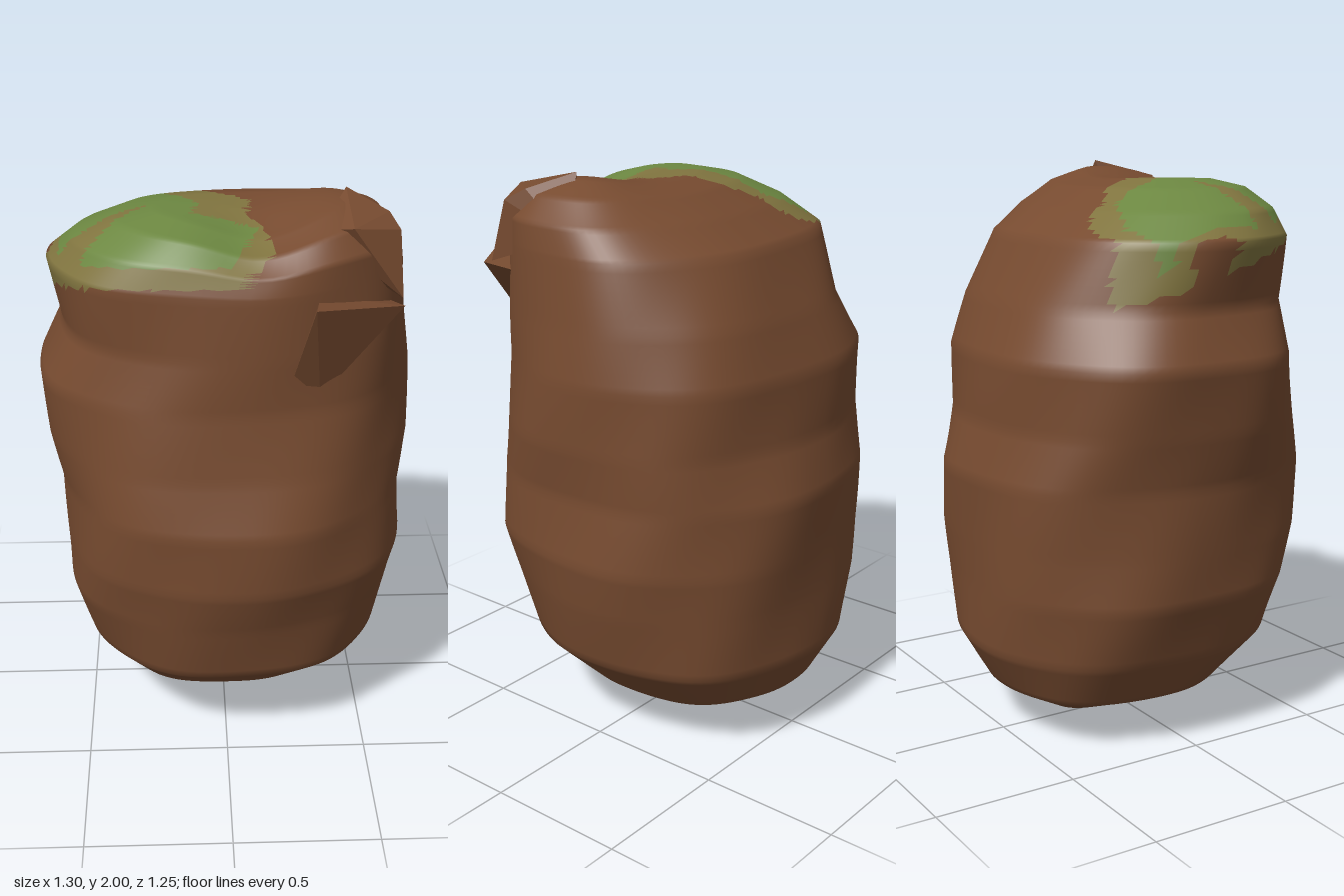
import * as THREE from 'three';
import { ConvexGeometry } from 'three/addons/geometries/ConvexGeometry.js';

const brown = new THREE.MeshStandardMaterial({ name: 'brown stone', color: 0x774b30 });
const olive = new THREE.MeshStandardMaterial({ name: 'olive moss edge', color: 0x80743f });
const green = new THREE.MeshStandardMaterial({ name: 'green moss', color: 0x6c8741 });

// Cross-sections: y, left edge x, right edge x, back z, front z
const rings = [
  [0.0, 0.07, 0.07, 0.0, 0.0],
  [0.05, -0.13, 0.17, -0.3, 0.1],
  [0.17, -0.41, 0.42, -0.5, 0.33],
  [0.33, -0.51, 0.57, -0.59, 0.52],
  [0.55, -0.58, 0.62, -0.6, 0.57],
  [0.72, -0.58, 0.65, -0.61, 0.62],
  [0.95, -0.58, 0.63, -0.62, 0.63],
  [1.13, -0.62, 0.65, -0.57, 0.58],
  [1.36, -0.65, 0.65, -0.56, 0.54],
  [1.54, -0.56, 0.63, -0.49, 0.53],
  [1.76, -0.59, 0.61, -0.38, 0.52],
  [1.85, -0.5, 0.59, -0.25, 0.5],
  [1.92, -0.36, 0.52, -0.12, 0.44],
  [1.95, -0.22, 0.4, 0.0, 0.34],
  [1.96, 0.05, 0.05, 0.16, 0.16],
];

// Moss outlines seen from above (x, z)
const mossEdge = [[-0.64, 0.27], [-0.58, 0.05], [-0.57, -0.12], [-0.5, -0.25], [-0.45, -0.34], [-0.42, -0.28],
  [-0.32, -0.3], [-0.22, -0.26], [-0.17, -0.17], [-0.07, -0.1], [-0.04, 0], [0.09, 0.09], [0.07, 0.2],
  [0.12, 0.27], [0.15, 0.43], [0, 0.56], [-0.3, 0.56], [-0.56, 0.44]];
const mossCore = [[-0.55, 0.2], [-0.55, -0.17], [-0.4, -0.23], [-0.23, -0.16], [-0.17, 0.02], [-0.09, 0.13],
  [-0.11, 0.23], [0.11, 0.27], [0.05, 0.42], [0, 0.53], [-0.25, 0.54], [-0.45, 0.48], [-0.52, 0.36], [-0.25, 0.13]];

function inside(poly, x, z) {
  let hit = false;
  for (let i = 0, j = poly.length - 1; i < poly.length; j = i++) {
    const [xi, zi] = poly[i], [xj, zj] = poly[j];
    if ((zi > z) !== (zj > z) && x < ((xj - xi) * (z - zi)) / (zj - zi) + xi) hit = !hit;
  }
  return hit;
}

// Point on a squarish oval ring, with slight dents and a dipped, humped crown
function boulderPoint([y, x0, x1, z0, z1], angle) {
  const round = (v) => Math.sign(v) * Math.abs(v) ** (2 / 2.3);
  const dent = 1 + 0.018 * Math.sin(5 * angle + 4 * y) * Math.sin(3 * y + 2 * angle);
  const x = (x0 + x1) / 2 + ((x1 - x0) / 2) * round(Math.cos(angle)) * dent;
  const z = (z0 + z1) / 2 + ((z1 - z0) / 2) * round(Math.sin(angle)) * dent;
  const crown = THREE.MathUtils.smoothstep(y, 1.7, 1.92);
  const dip = -0.06 * Math.exp(-(((x - 0.1) / 0.17) ** 2) - ((z - 0.4) / 0.25) ** 2);
  const hump = 0.03 * Math.exp(-(((x - 0.38) / 0.15) ** 2) - ((z - 0.15) / 0.2) ** 2);
  return [x, y + crown * (dip + hump), z];
}

function boulderGeometry() {
  const sides = 96, steps = 8, positions = [];
  const rows = (rings.length - 1) * steps;
  for (let i = 0; i <= rows; i++) {
    const k = Math.min(Math.floor(i / steps), rings.length - 2);
    const ring = rings[k].map((v, n) => THREE.MathUtils.lerp(v, rings[k + 1][n], i / steps - k));
    for (let j = 0; j < sides; j++) positions.push(...boulderPoint(ring, (j / sides) * Math.PI * 2));
  }
  // Sort the triangles into stone, moss edge and moss core
  const faces = [[], [], []];
  const addFace = (...ids) => {
    const [x, y, z] = [0, 1, 2].map((n) => ids.reduce((sum, id) => sum + positions[id * 3 + n], 0) / 3);
    const floor = 1.64 + 0.28 * z;
    const core = y > floor + 0.07 && inside(mossCore, x, z);
    const edge = y > floor && inside(mossEdge, x, z);
    faces[core ? 2 : edge ? 1 : 0].push(...ids);
  };
  for (let i = 0; i < rows; i++) {
    for (let j = 0; j < sides; j++) {
      const a = i * sides + j, b = i * sides + ((j + 1) % sides);
      if (i > 0) addFace(a, a + sides, b);
      if (i < rows - 1) addFace(b, a + sides, b + sides);
      else if (i === 0) addFace(b, a + sides, b + sides);
    }
  }
  const geometry = new THREE.BufferGeometry();
  geometry.setAttribute('position', new THREE.Float32BufferAttribute(positions, 3));
  geometry.setIndex(faces.flat());
  let start = 0;
  faces.forEach((list, n) => {
    geometry.addGroup(start, list.length, n);
    start += list.length;
  });
  geometry.computeVertexNormals();
  return geometry;
}

function chunk(name, points) {
  const mesh = new THREE.Mesh(new ConvexGeometry(points.map((p) => new THREE.Vector3(...p))), brown);
  mesh.name = name;
  return mesh;
}

export function createModel() {
  const group = new THREE.Group();
  group.name = 'mossyBoulder';

  const boulder = new THREE.Mesh(boulderGeometry(), [brown, olive, green]);
  boulder.name = 'boulder';
  group.add(boulder);

  // Broken slab jutting from the front
  group.add(chunk('frontSlab', [[0.27, 1.74, 0.59], [0.57, 1.69, 0.42], [0.3, 1.4, 0.48], [0.21, 1.5, 0.53],
    [0.3, 1.72, 0.4], [0.5, 1.65, 0.2]]));

  // Knob on the upper front corner
  group.add(chunk('topKnob', [[0.3, 1.91, 0.32], [0.4, 2, 0.14], [0.53, 1.95, 0.25], [0.56, 1.91, 0.32],
    [0.4, 1.94, 0.4], [0.57, 1.7, 0.38], [0.35, 1.8, 0.2], [0.5, 1.8, 0.1]]));

  return group;
}
